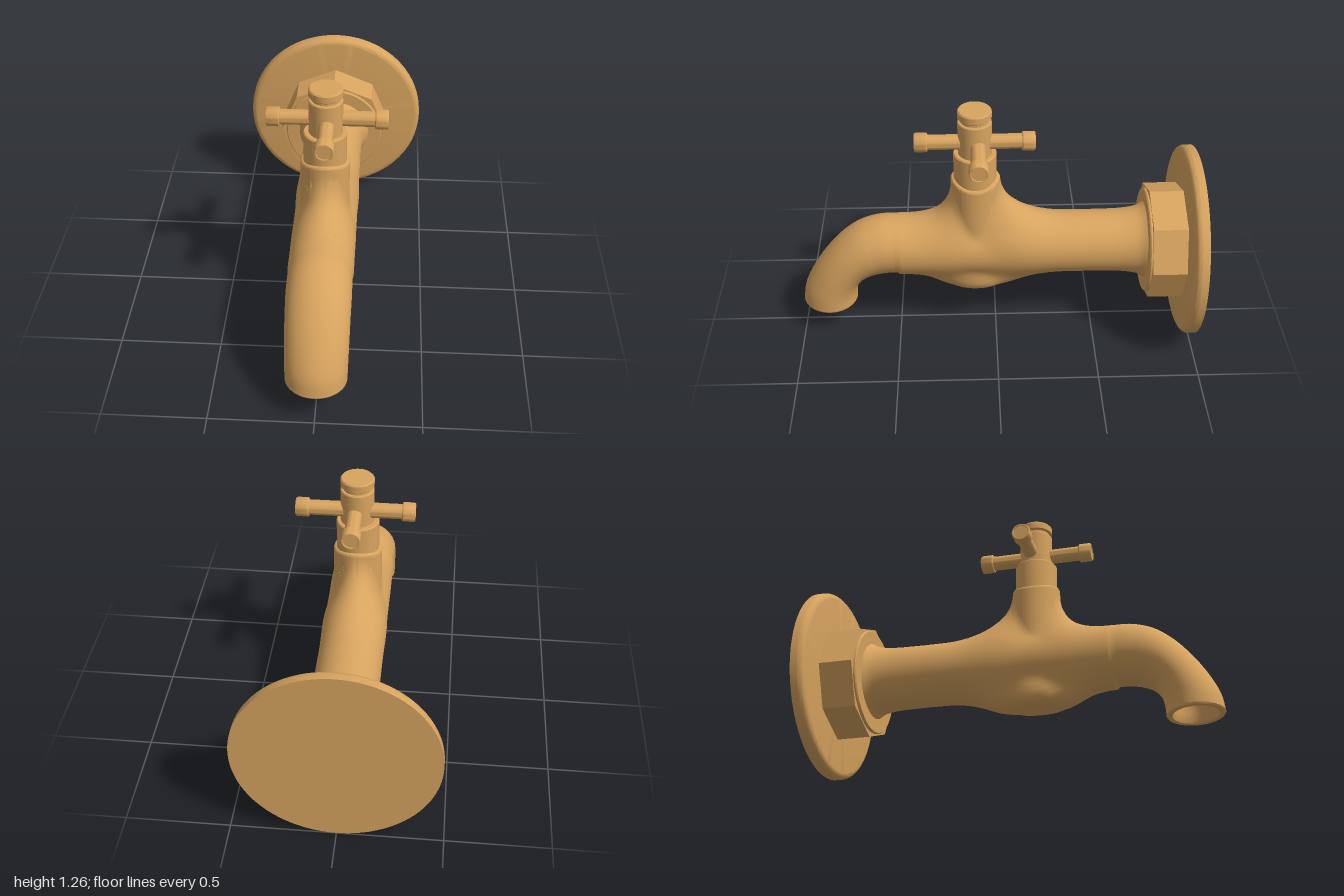
import * as THREE from 'three';
import { toCreasedNormals } from 'three/addons/utils/BufferGeometryUtils.js';

const AXIS_Y = 0.485, PIPE_R = 0.158, NECK_Z = 0.1, NECK_R = 0.12;
const { clamp, lerp, smoothstep } = THREE.MathUtils;

// Distance to the pipe smoothly blended with the upright valve neck
function blend(p) {
  const up = smoothstep(p.y, 0.35, 0.6);
  const dz = (p.z - NECK_Z) * lerp(0.65, 1, up);
  const r = Math.hypot(p.x, dz);
  const pipe = Math.hypot(p.x, p.y - AXIS_Y) - PIPE_R;
  const e = 0.06, a = r - NECK_R + e, b = 0.245 + e - p.y;
  const neck = Math.hypot(Math.max(a, 0), Math.max(b, 0)) + Math.min(Math.max(a, b), 0) - e;
  // the fillet is wide along the pipe and tight at its sides
  const along = dz * dz / (r * r + 0.004);
  const k = 0.02 + along * (0.3 - 0.25 * clamp(dz, -0.2, 0.2)) * lerp(0.6, 1, up);
  const h = Math.max(k - Math.abs(pipe - neck), 0) / k;
  return Math.min(pipe, neck) - h * h * k / 4;
}

// Point where a ray leaves the blended solid, or the fallback point inside it
function exitPoint(origin, dir, near, far, fallback) {
  const at = s => origin.clone().addScaledVector(dir, s);
  if (blend(at(far)) < 0) return at(fallback);
  for (let i = 0; i < 24; i++) {
    const mid = (near + far) / 2;
    if (blend(at(mid)) < 0) near = mid; else far = mid;
  }
  return at(near);
}

// Surface from closed loops of points
function loops(rows, cols, point) {
  const pos = [], index = [];
  for (let i = 0; i < rows; i++)
    for (let j = 0; j < cols; j++) {
      pos.push(...point(i, j / cols * Math.PI * 2).toArray());
      if (i === rows - 1) continue;
      const a = i * cols + j, b = i * cols + (j + 1) % cols, c = a + cols, d = b + cols;
      index.push(a, c, b, b, c, d);
    }
  const g = new THREE.BufferGeometry();
  g.setAttribute('position', new THREE.Float32BufferAttribute(pos, 3));
  g.setIndex(index);
  return toCreasedNormals(g, 0.7);
}

const lathe = (pts, segs = 48) =>
  toCreasedNormals(new THREE.LatheGeometry(pts.map(p => new THREE.Vector2(...p)), segs), 0.6);

// Pipe and spout: loops spanning an upper and a lower outline, given as [z, y]
function bodyGeometry() {
  const top = [[-0.755, 0.68], [-0.72, 0.661], [-0.65, 0.648], [-0.5, 0.643], [-0.3, 0.643], [-0.1, 0.643],
    [0.1, 0.643], [0.3, 0.643], [0.5, 0.643], [0.59, 0.638], [0.69, 0.605], [0.78, 0.54],
    [0.87, 0.44], [0.94, 0.335], [0.985, 0.24], [1, 0.16]];
  const bottom = [[-0.755, 0.29], [-0.72, 0.309], [-0.65, 0.322], [-0.5, 0.327], [-0.3, 0.327], [-0.1, 0.327],
    [0.1, 0.327], [0.3, 0.327], [0.5, 0.338], [0.56, 0.336], [0.62, 0.323], [0.67, 0.298],
    [0.702, 0.262], [0.715, 0.228], [0.721, 0.19], [0.723, 0.152]];
  const curve = pts => new THREE.CatmullRomCurve3(pts.map(([z, y]) => new THREE.Vector3(0, y, z)));
  const upper = curve(top), lower = curve(bottom);
  const n = (top.length - 1) * 12, spoutStart = 8 / 15;
  const rows = [];
  for (let i = 0; i <= n; i++) rows.push([i / n, 1, 0]);
  // rounded lip and hollow mouth
  rows.push([1, 0.97, -0.006], [1, 0.8, -0.006], [0.99, 0.76, 0], [0.95, 0.72, 0], [0.9, 0.66, 0], [0.88, 0.4, 0], [0.875, 0, 0]);
  return loops(rows.length, 64, (i, a) => {
    const [t, scale, drop] = rows[i];
    const p = upper.getPoint(t), q = lower.getPoint(t);
    const c = p.clone().add(q).multiplyScalar(0.5), v = p.sub(q).multiplyScalar(0.5);
    const s = Math.max(0, (t - spoutStart) / (1 - spoutStart));
    const w = lerp(v.length(), 0.158 - 0.012 * s, Math.min(1, s * 4));
    const dir = v.multiplyScalar(Math.cos(a));
    dir.x = w * Math.sin(a);
    if (c.z > -0.45 && c.z < 0.5) return exitPoint(c, dir, 0.9, 2.2, 0.95);
    c.y += drop;
    return c.addScaledVector(dir, scale);
  });
}

// Valve neck rising out of the pipe, with a saddle-shaped rim
function neckGeometry() {
  const n = 44;
  return loops(n + 4, 96, (i, a) => {
    const dir = new THREE.Vector3(-Math.sin(a), 0, Math.cos(a));
    const rim = 0.872 + 0.012 * Math.cos(2 * a);
    const o = new THREE.Vector3(0, lerp(0.6, rim, Math.min(1, i / n)), NECK_Z);
    const p = exitPoint(o, dir, 0.03, 0.4, 0.09);
    if (i <= n) return p;
    const [shrink, lift] = [[0.975, 0.006], [0.93, 0.01], [0.7, 0.011]][i - n - 1];
    p.lerp(o, 1 - shrink).y += lift;
    return p;
  });
}

export function createModel() {
  const model = new THREE.Group();
  const brass = new THREE.MeshStandardMaterial({ color: 0xd8a45f });
  const add = (name, geometry, parent = model) => {
    const m = new THREE.Mesh(geometry, brass);
    m.name = name;
    parent.add(m);
    return m;
  };

  // wall mounting, turned about the pipe axis
  const mount = new THREE.Group();
  mount.name = 'wallMount';
  mount.position.y = 0.482;
  mount.rotation.x = Math.PI / 2;
  model.add(mount);
  const plate = [[0, -1], [0.481, -1], [0.481, -0.967]];
  for (let i = 1; i <= 6; i++) {
    const a = i / 6 * Math.PI / 2;
    plate.push([0.449 + 0.032 * Math.cos(a), -0.967 + 0.032 * Math.sin(a)]);
  }
  plate.push([0, -0.935]);
  add('wallPlate', lathe(plate, 96), mount);
  const nut = new THREE.CylinderGeometry(0.295, 0.295, 0.175, 8);
  add('octagonalNut', toCreasedNormals(nut, 0.4), mount).position.y = -0.8525;
  add('nutCollar', lathe([[0.265, -0.78], [0.265, -0.757], [0.26, -0.751], [0, -0.751]], 64), mount);

  // faucet body
  add('pipeAndSpout', bodyGeometry());
  add('valveNeck', neckGeometry());

  // valve bonnet and handle hub
  add('bonnet', lathe([[0.105, 0.82], [0.105, 1.024], [0.1, 1.03], [0, 1.03]])).position.z = NECK_Z;
  const hub = [[0.082, 1.02], [0.082, 1.2], [0.078, 1.205], [0.068, 1.205], [0.068, 1.222],
    [0.078, 1.222], [0.082, 1.226], [0.082, 1.258], [0.076, 1.265], [0, 1.265]];
  add('handleHub', lathe(hub)).position.set(0.003, 0, NECK_Z);

  // four handle arms with thicker tips
  const handle = new THREE.Group();
  handle.name = 'crossHandle';
  handle.position.set(0.01, 1.092, NECK_Z);
  model.add(handle);
  const arm = lathe([[0, 0], [0.037, 0], [0.037, 0.226], [0.043, 0.226], [0.047, 0.231], [0.047, 0.282],
    [0.043, 0.29], [0.038, 0.29], [0.036, 0.286], [0, 0.286]], 32);
  for (let i = 0; i < 4; i++) {
    const pivot = new THREE.Group();
    pivot.rotation.y = i * Math.PI / 2;
    if (i % 2) pivot.position.z = -0.015;
    handle.add(pivot);
    add('handleArm', arm, pivot).rotation.x = Math.PI / 2;
  }
  return model;
}
